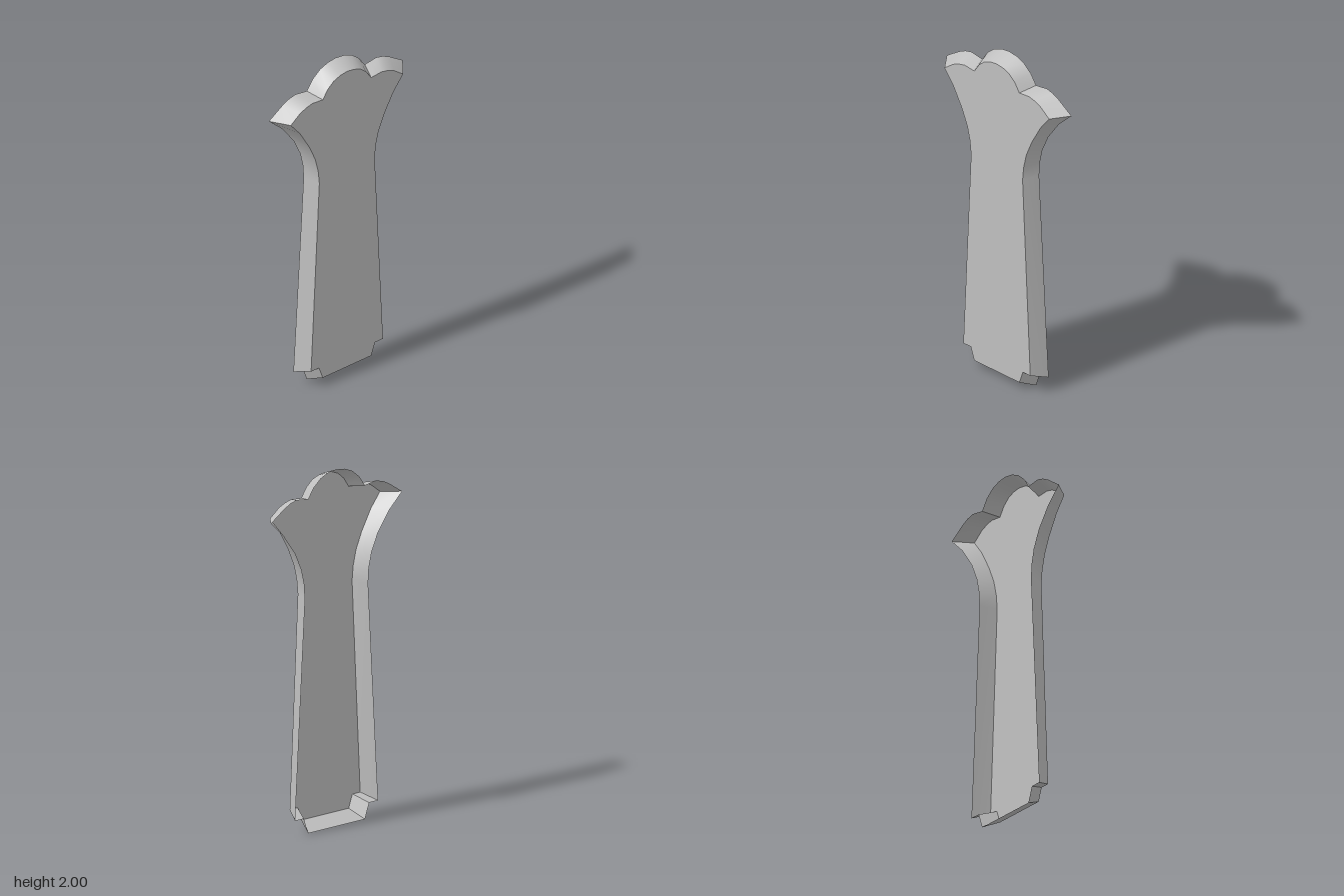
import * as THREE from 'three';

const HALF_DEPTH = 0.048;

// Each rim point is [back x, back y, front x, front y]; the back outline is wider.
// Smooth runs of the right half, going counter-clockwise from the bottom.
const footSide = [[0.2, 0, 0.167, 0.045], [0.23, 0.087, 0.193, 0.12]];
const footLedge = [[0.23, 0.087, 0.193, 0.12], [0.292, 0.087, 0.248, 0.12]];
const flank = [
  [0.292, 0.087, 0.248, 0.12], [0.222, 1.315, 0.191, 1.318], [0.227, 1.4, 0.199, 1.4],
  [0.246, 1.485, 0.219, 1.485], [0.29, 1.585, 0.259, 1.58], [0.37, 1.698, 0.323, 1.695],
  [0.462, 1.786, 0.388, 1.778],
];
const sideLobe = [
  [0.462, 1.786, 0.388, 1.778], [0.37, 1.848, 0.325, 1.827],
  [0.325, 1.871, 0.28, 1.847], [0.28, 1.882, 0.238, 1.857], [0.2, 1.87, 0.167, 1.85],
];
const crownHalf = [
  [0.2, 1.87, 0.167, 1.85], [0.16, 1.929, 0.133, 1.902],
  [0.11, 1.971, 0.092, 1.938], [0.055, 1.993, 0.046, 1.956],
];

const mirror = (run) => run.map(([a, b, c, d]) => [-a, b, -c, d]).reverse();

// Ruled strip between the back and front outlines, smooth along its length
function wallGeometry(run) {
  const positions = [];
  const index = [];
  run.forEach(([bx, by, fx, fy], i) => {
    positions.push(bx, by, -HALF_DEPTH, fx, fy, HALF_DEPTH);
    if (i > 0) {
      const a = 2 * (i - 1);
      index.push(a, a + 2, a + 3, a, a + 3, a + 1);
    }
  });
  const geometry = new THREE.BufferGeometry();
  geometry.setAttribute('position', new THREE.Float32BufferAttribute(positions, 3));
  geometry.setIndex(index);
  geometry.computeVertexNormals();
  return geometry;
}

export function createModel() {
  const group = new THREE.Group();
  group.name = 'flaredPlaque';
  const grey = new THREE.MeshStandardMaterial({ color: 0xc0c0c0, side: THREE.DoubleSide });
  grey.name = 'plain grey';

  const add = (name, geometry) => {
    const mesh = new THREE.Mesh(geometry, grey);
    mesh.name = name;
    group.add(mesh);
  };

  const crown = [...crownHalf, [0, 2, 0, 1.962], ...mirror(crownHalf)];
  const base = [[-0.2, 0, -0.167, 0.045], [0.2, 0, 0.167, 0.045]];

  // Bevelled walls, open at the back
  const walls = [
    ['baseWall', base],
    ['leftFootSide', footSide],
    ['leftFootLedge', footLedge],
    ['leftFlank', flank],
    ['leftLobe', sideLobe],
    ['crownLobe', crown],
    ['rightLobe', mirror(sideLobe)],
    ['rightFlank', mirror(flank)],
    ['rightFootLedge', mirror(footLedge)],
    ['rightFootSide', mirror(footSide)],
  ];
  walls.forEach(([name, run]) => add(name, wallGeometry(run)));

  // Flat front panel bounded by the front outline
  const outline = walls.flatMap(([, run]) => run.slice(0, -1))
    .map(([, , x, y]) => new THREE.Vector2(x, y));
  const panel = new THREE.ShapeGeometry(new THREE.Shape(outline));
  panel.translate(0, 0, HALF_DEPTH);
  add('frontPanel', panel);

  return group;
}
